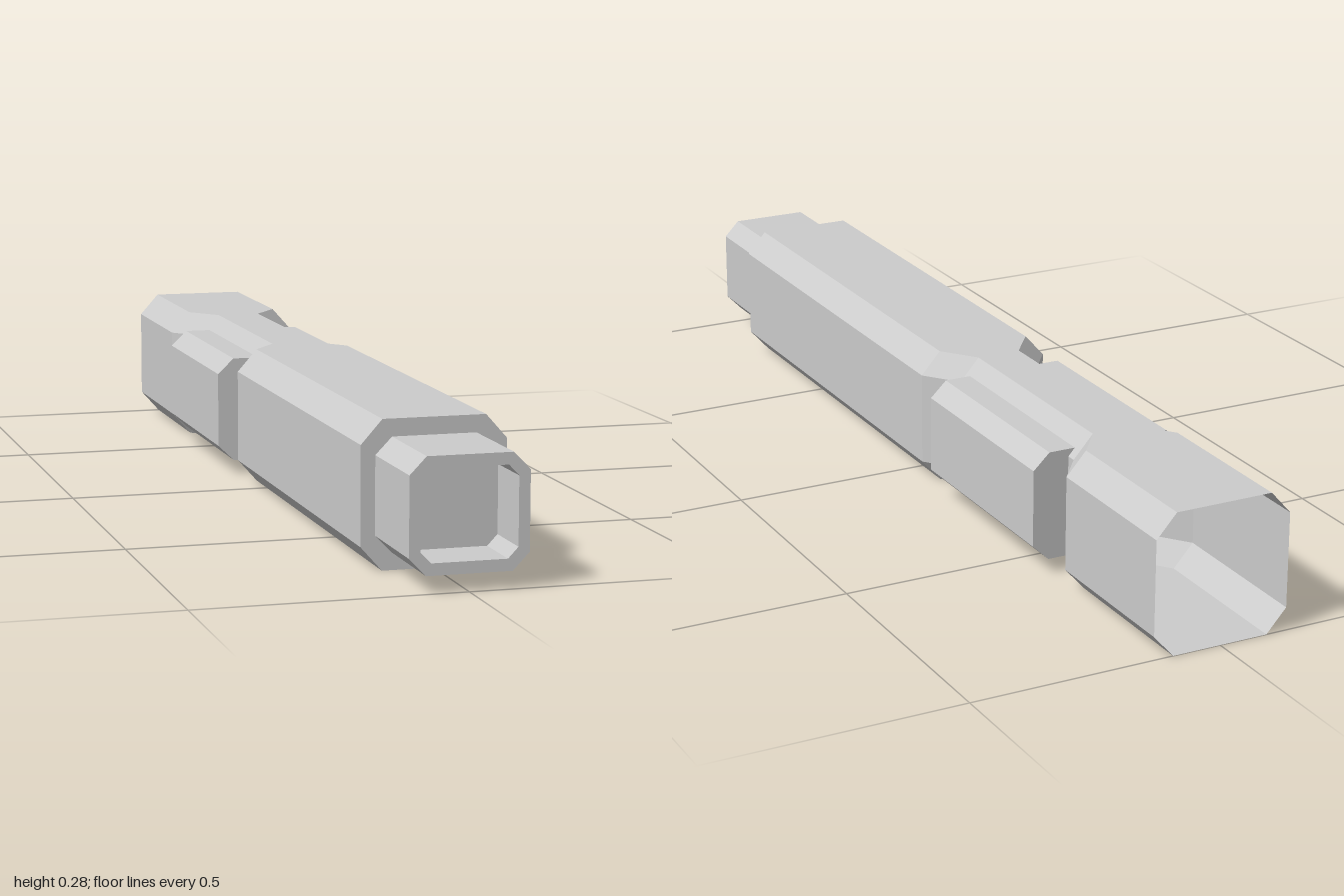
import * as THREE from 'three';

const MID = 0.1375; // height of the long axis

// Chamfered rectangle, counter-clockwise seen from the front
function octagon(z, halfW, halfH, flatW, flatH) {
  return [
    [halfW, -flatH], [halfW, flatH], [flatW, halfH], [-flatW, halfH],
    [-halfW, flatH], [-halfW, -flatH], [-flatW, -halfH], [flatW, -halfH],
  ].map(([x, y]) => new THREE.Vector3(x, MID + y, z));
}

// Skin joining successive sections, with an optional flat cap on the last one
function loft(sections, cap) {
  const pts = [];
  for (let s = 0; s < sections.length - 1; s++) {
    const a = sections[s], b = sections[s + 1];
    for (let i = 0; i < a.length; i++) {
      const j = (i + 1) % a.length;
      pts.push(a[i], a[j], b[j], a[i], b[j], b[i]);
    }
  }
  if (cap) {
    const e = sections[sections.length - 1];
    for (let i = 1; i < e.length - 1; i++) pts.push(e[0], e[i], e[i + 1]);
  }
  const geo = new THREE.BufferGeometry().setFromPoints(pts);
  geo.computeVertexNormals();
  return geo;
}

export function createModel() {
  const group = new THREE.Group();
  const material = new THREE.MeshStandardMaterial({
    color: 0xcccccc, flatShading: true, side: THREE.DoubleSide,
  });
  const add = (name, geometry) => {
    const mesh = new THREE.Mesh(geometry, material);
    mesh.name = name;
    group.add(mesh);
  };

  // Main sleeve: open at the back, pinched at the waist, closed at the front
  const full = (z) => octagon(z, 0.137, 0.1375, 0.097, 0.0925);
  const waist = (z) => octagon(z, 0.085, 0.1375, 0.045, 0.0925);
  add('sleeve', loft([full(-1), full(-0.677), waist(-0.61), waist(-0.148), full(-0.08), full(0.8)], true));

  // Smaller nozzle with a rim and a shallow recess
  const outer = (z) => octagon(z, 0.11, 0.105, 0.079, 0.073);
  const inner = (z) => octagon(z, 0.089, 0.083, 0.07, 0.063);
  add('nozzle', loft([outer(0.8), outer(1), inner(1), inner(0.89)], true));

  // Chamfered grip pads filling the waist on each side
  const padProfile = [
    [0.0717, -0.1075], [0.125, -0.1075], [0.158, -0.076], [0.158, 0.076],
    [0.125, 0.1075], [0.0717, 0.1075], [0.085, 0.0925], [0.085, -0.0925],
  ];
  for (const [name, side] of [['leftPad', 1], ['rightPad', -1]]) {
    const shape = new THREE.Shape(padProfile.map(([x, y]) => new THREE.Vector2(x * side, MID + y)));
    const geo = new THREE.ExtrudeGeometry(shape, { depth: 0.427, bevelEnabled: false });
    add(name, geo.translate(0, 0, -0.59));
  }
  return group;
}
